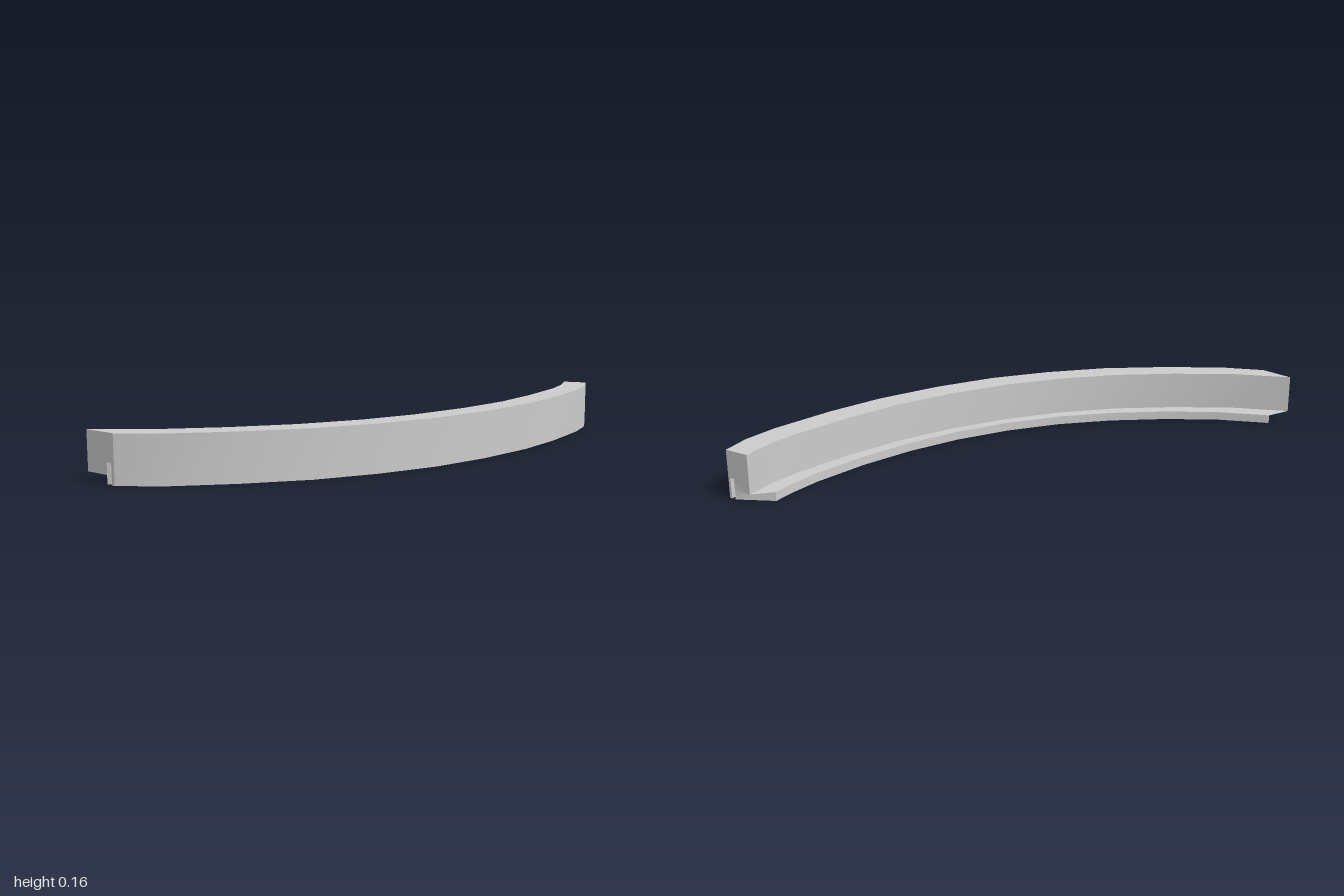
import * as THREE from 'three';
import { toCreasedNormals } from 'three/addons/utils/BufferGeometryUtils.js';

// Plan lines [x, z] of the curved rail, from its right end to its left end
const outer = [[-0.93, 0.295], [-0.785, 0.347], [-0.565, 0.38], [-0.33, 0.392], [-0.11, 0.367], [0.105, 0.317],
  [0.313, 0.233], [0.52, 0.12], [0.69, -0.003], [0.863, -0.155], [0.945, -0.248], [0.997, -0.34]];
const crest = [[-1, 0.193], [-0.8, 0.258], [-0.58, 0.29], [-0.36, 0.3], [-0.14, 0.278], [0.06, 0.228],
  [0.27, 0.145], [0.46, 0.043], [0.63, -0.082], [0.797, -0.225], [0.87, -0.307], [0.928, -0.394]];
const inner = [[-0.915, 0.152], [-0.735, 0.212], [-0.54, 0.242], [-0.335, 0.25], [-0.135, 0.232], [0.06, 0.185],
  [0.25, 0.11], [0.42, 0.015], [0.58, -0.1], [0.73, -0.235], [0.805, -0.32], [0.85, -0.382]];

const TOP = 0.163, LEDGE = 0.03, GROOVE = 0.07;

// Cross-section at station i: skirt, top, back wall, foot, groove
function section(i) {
  const at = ([x, z], y) => [x, y, z];
  const mix = t => outer[i].map((v, k) => v + (crest[i][k] - v) * t);
  const o = outer[i], c = crest[i], n = inner[i], g1 = mix(0.1), g2 = mix(0.27);
  return {
    loop: [at(o, 0), at(o, TOP), at(c, TOP), at(c, LEDGE), at(n, LEDGE), at(n, 0),
      at(g2, 0), at(g2, GROOVE), at(g1, GROOVE), at(g1, 0)],
    notch: at(g2, LEDGE),
  };
}

function railGeometry() {
  const positions = [];
  const tri = (...p) => p.forEach(v => positions.push(...v));
  const sections = outer.map((_, i) => section(i));

  // Long surfaces between neighbouring stations
  for (let i = 0; i + 1 < sections.length; i++) {
    const a = sections[i].loop, b = sections[i + 1].loop;
    for (let j = 0; j < a.length; j++) {
      const k = (j + 1) % a.length;
      tri(a[j], b[j], b[k]);
      tri(a[j], b[k], a[k]);
    }
  }

  // End caps: grooved body, underside of the overhang, foot
  const flat = [[0, 0], [0, TOP], [1, TOP], [1, LEDGE], [0.27, LEDGE], [0.27, GROOVE], [0.1, GROOVE], [0.1, 0]]
    .map(p => new THREE.Vector2(p[0], p[1]));
  const faces = THREE.ShapeUtils.triangulateShape(flat, []);
  const signedArea = f => THREE.ShapeUtils.area(f.map(k => flat[k]));
  const cap = ({ loop: l, notch }, flip) => {
    const put = (a, b, c) => (flip ? tri(c, b, a) : tri(a, b, c));
    const body = [l[0], l[1], l[2], l[3], notch, l[7], l[8], l[9]];
    for (const f of faces) {
      const [a, b, c] = f.map(k => body[k]);
      if (signedArea(f) < 0) put(a, b, c); else put(c, b, a);
    }
    put(l[3], l[4], notch);
    put(l[4], l[5], l[6]);
    put(l[4], l[6], notch);
  };
  cap(sections[0], false);
  cap(sections[sections.length - 1], true);

  const geometry = new THREE.BufferGeometry();
  geometry.setAttribute('position', new THREE.Float32BufferAttribute(positions, 3));
  return toCreasedNormals(geometry, 0.5);
}

export function createModel() {
  const group = new THREE.Group();
  group.name = 'curvedRail';
  const rail = new THREE.Mesh(railGeometry(),
    new THREE.MeshStandardMaterial({ color: 0xcccccc, side: THREE.DoubleSide }));
  rail.name = 'railBody';
  group.add(rail);
  return group;
}
